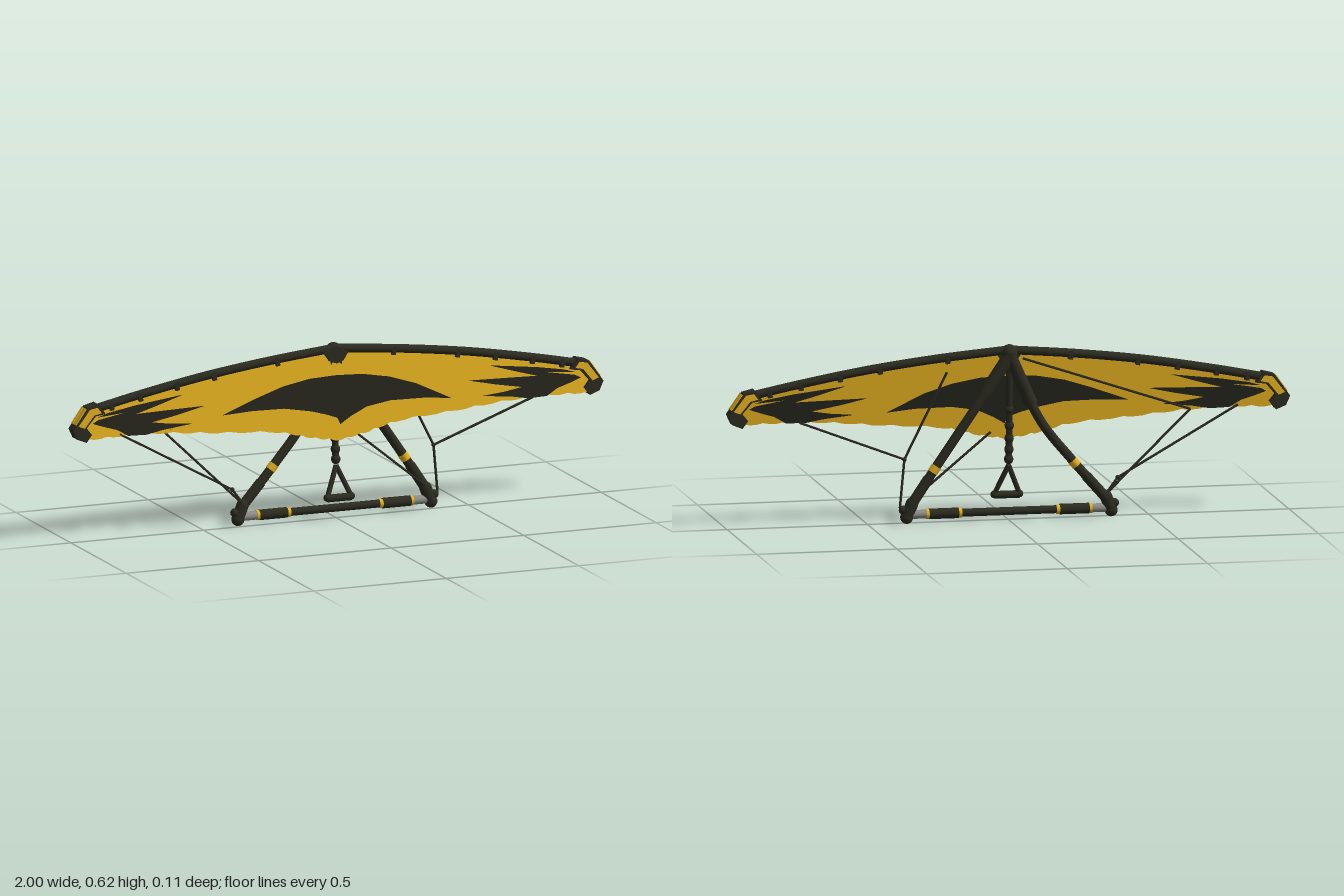
import * as THREE from 'three';

const mat = (name, color, side = THREE.FrontSide) => {
  const m = new THREE.MeshStandardMaterial({ color, side });
  m.name = name;
  return m;
};
const V = (x, y, z) => new THREE.Vector3(x, y, z);

export function createModel() {
  const model = new THREE.Group();
  model.name = 'hangGlider';
  const yellow = mat('sailYellow', 0xe7b220, THREE.DoubleSide);
  const dark = mat('patternBlack', 0x25251d);
  const frame = mat('frameBlack', 0x2b2b21);
  const metal = mat('bareMetal', 0x8c8c88);

  const add = (name, geo, material) => {
    const m = new THREE.Mesh(geo, material);
    m.name = name;
    model.add(m);
    return m;
  };
  // Straight round bar between two points
  const rod = (name, a, b, r, material = frame, sides = 14) => {
    const d = b.clone().sub(a);
    const m = add(name, new THREE.CylinderGeometry(r, r, d.length(), sides), material);
    m.position.copy(a).addScaledVector(d, 0.5);
    m.quaternion.setFromUnitVectors(V(0, 1, 0), d.normalize());
    return m;
  };
  const ball = (name, p, r) => {
    const m = add(name, new THREE.SphereGeometry(r, 16, 12), frame);
    m.position.copy(p);
    return m;
  };

  // The sail lies in one gently raked plane
  const sailZ = y => 0.02 - (y - 0.28) * 0.1;
  const rake = geo => {
    const p = geo.attributes.position;
    for (let i = 0; i < p.count; i++) p.setZ(i, p.getZ(i) + sailZ(p.getY(i)));
    geo.computeVertexNormals();
    return geo;
  };
  const shapeOf = pts => new THREE.Shape(pts.map(([x, y]) => new THREE.Vector2(x, y)));
  const plate = (pts, depth) =>
    new THREE.ExtrudeGeometry(shapeOf(pts), { depth, bevelEnabled: false }).translate(0, 0, -depth / 2);
  const flip = pts => pts.map(([x, y]) => [-x, y]).reverse();

  // Sail cloth with a lightly scalloped trailing edge
  const lead = [[0, 0.6], [0.25, 0.578], [0.5, 0.545], [0.75, 0.5], [0.93, 0.465]];
  const trailCurve = new THREE.CatmullRomCurve3(
    [[0.965, 0.362], [0.82, 0.366], [0.65, 0.362], [0.45, 0.345], [0.22, 0.326], [0.1, 0.297], [0, 0.28]]
      .map(([x, y]) => V(x, y, 0)));
  const trail = [];
  for (let i = 0; i <= 36; i++) {
    const p = trailCurve.getPoint(i / 36);
    trail.push([p.x, p.y + (i % 3 === 1 && i < 35 ? 0.005 : 0)]);
  }
  const half = [...lead, ...trail];
  add('sail', rake(new THREE.ShapeGeometry(shapeOf([...half, ...flip(half.slice(1, -1))]))), yellow);

  // Dark patterns, visible on both faces of the cloth
  const centre = [[-0.43, 0.407], [-0.3, 0.455], [-0.2, 0.487], [-0.1, 0.505], [0, 0.509], [0.1, 0.505],
    [0.2, 0.487], [0.3, 0.455], [0.43, 0.392], [0.33, 0.402], [0.2, 0.404], [0.11, 0.39], [0.05, 0.362],
    [0.01, 0.338], [0, 0.36], [-0.04, 0.375], [-0.1, 0.392], [-0.2, 0.41], [-0.32, 0.412]];
  add('centrePattern', rake(plate(centre.reverse(), 0.006)), dark);
  const flame = [[0.92, 0.42], [0.9, 0.431], [0.79, 0.45], [0.9, 0.441], [0.86, 0.453], [0.76, 0.47],
    [0.58, 0.492], [0.68, 0.462], [0.76, 0.44], [0.64, 0.443], [0.5, 0.446], [0.6, 0.424], [0.7, 0.406],
    [0.63, 0.395], [0.55, 0.388], [0.66, 0.376], [0.72, 0.365], [0.79, 0.367], [0.83, 0.391], [0.88, 0.406]];

  for (const s of [1, -1]) {
    const side = s > 0 ? 'left' : 'right';
    const orient = pts => (s > 0 ? pts : flip(pts));
    add(side + 'FlamePattern', rake(plate(orient(flame.slice().reverse()), 0.006)), dark);

    // Leading edge tube and its clips
    const edge = new THREE.CatmullRomCurve3(
      [[0, 0.603], [0.25, 0.58], [0.5, 0.548], [0.75, 0.504], [0.94, 0.465]]
        .map(([x, y], i) => V(s * x, y, -0.018 + i * 0.0045)));
    add(side + 'LeadingEdge', new THREE.TubeGeometry(edge, 32, 0.0155, 12), frame);
    for (const t of [0.22, 0.46, 0.6, 0.74, 0.88]) {
      const clip = add(side + 'EdgeClip', new THREE.BoxGeometry(0.015, 0.03, 0.032), frame);
      clip.position.copy(edge.getPoint(t)).add(V(0, -0.006, 0));
      clip.rotation.z = -s * 0.17;
    }

    // Wing tip cap with yellow inlays on both faces and along the slanted outer edge
    add(side + 'TipCap', plate(orient([[0.95, 0.358], [0.985, 0.372], [1, 0.405], [0.945, 0.482], [0.905, 0.492],
      [0.878, 0.455], [0.915, 0.45], [0.95, 0.41], [0.93, 0.385]]), 0.046), frame);
    add(side + 'TipInlay', plate(orient([[0.958, 0.41], [0.981, 0.419], [0.938, 0.475], [0.909, 0.48],
      [0.894, 0.46], [0.922, 0.454]]), 0.052), yellow);
    for (const [z, w] of [[0.008, 0.024], [-0.016, 0.012]]) {
      const strip = add(side + 'TipStripe', new THREE.BoxGeometry(0.006, 0.068, w), yellow);
      strip.position.set(s * 0.968, 0.45, z);
      strip.rotation.z = s * Math.atan2(0.055, 0.077);
    }

    // Upright of the control frame, sleeve and band
    const upright = new THREE.CatmullRomCurve3((s > 0
      ? [[0, 0.585], [0.12, 0.405], [0.24, 0.23], [0.36, 0.05]]
      : [[0, 0.585], [-0.11, 0.35], [-0.22, 0.21], [-0.36, 0.05]])
      .map(([x, y], i) => V(x, y, -0.03 + i * 0.003)));
    const band = s > 0 ? 0.72 : 0.675;
    add(side + 'Upright', new THREE.TubeGeometry(upright, 32, 0.0165, 14), frame);
    rod(side + 'UprightSleeve', upright.getPoint(0), upright.getPoint(0.24), 0.023);
    rod(side + 'UprightBand', upright.getPoint(band), upright.getPoint(band + 0.04), 0.018, yellow);
    rod(side + 'UprightGrip', upright.getPoint(0.8), upright.getPoint(0.97), 0.0185);

    // Corner fitting of the control frame
    const low = V(s * 0.364, 0.023, -0.015), high = V(s * 0.345, 0.072, -0.018);
    rod(side + 'Corner', low, high, 0.022);
    ball(side + 'CornerFoot', low, 0.023);
    ball(side + 'CornerTop', high, 0.022);
    ball(side + 'CornerBolt', V(s * 0.376, 0.048, -0.014), 0.016);

    // Base bar details
    const bar = x => V(s * x, 0.032, -0.015);
    rod(side + 'BarMetal', bar(0.29), bar(0.345), 0.0155, metal);
    rod(side + 'BarGrip', bar(0.18), bar(0.285), 0.0185);
    rod(side + 'BarBand', bar(0.168), bar(0.18), 0.0165, yellow);
    rod(side + 'GripBand', bar(0.285), bar(0.295), 0.0175, yellow);
  }
  rod('baseBar', V(-0.36, 0.032, -0.015), V(0.36, 0.032, -0.015), 0.014);

  // Apex fitting and flat nose plate
  ball('apexFitting', V(0, 0.593, -0.022), 0.03);
  add('nosePlate', plate([[-0.045, 0.592], [-0.025, 0.562], [0, 0.553], [0.025, 0.562], [0.045, 0.592],
    [0, 0.615]], 0.03), frame).position.z = -0.008;

  // Rigging wires, running on behind the cloth
  const wire = (a, b) => rod('riggingWire', a, b, 0.0045, frame, 6);
  const leftNode = V(0.37, 0.226, -0.005), rightNode = V(-0.39, 0.135, -0.003);
  const rightCorner = V(-0.345, 0.075, -0.005);
  wire(V(0.387, 0.055, -0.01), leftNode);
  wire(leftNode, V(0.74, 0.367, 0.008));
  wire(leftNode, V(0.22, 0.53, -0.012));
  wire(V(0.355, 0.07, -0.004), V(0.06, 0.31, 0.008));
  wire(rightCorner, rightNode);
  wire(rightNode, V(-0.82, 0.375, 0.008));
  wire(rightCorner, V(-0.65, 0.366, 0.007));
  wire(V(-0.65, 0.366, 0.007), V(-0.05, 0.57, -0.014));
  ball('leftWireJoint', leftNode, 0.008);
  ball('rightWireJoint', rightNode, 0.008);

  // Hanging strap with knots and triangular handle
  const strap = new THREE.CatmullRomCurve3(
    [V(0, 0.56, -0.03), V(0, 0.45, -0.016), V(-0.004, 0.33, -0.002), V(-0.004, 0.2, 0.008)]);
  add('hangStrap', new THREE.TubeGeometry(strap, 32, 0.012, 10), frame);
  for (const t of [0.5, 0.66, 0.78, 0.88, 0.97]) {
    const knot = ball('strapKnot', strap.getPoint(t), 0.0165);
    knot.scale.y = 1.1;
  }
  for (const s of [1, -1]) {
    const end = V(-0.004 + s * 0.045, 0.083, 0.039);
    rod('handleSide', V(-0.004, 0.19, 0.01), end, 0.009);
    ball('handleEnd', end, 0.0135);
  }
  rod('handleGrip', V(-0.049, 0.081, 0.039), V(0.041, 0.081, 0.039), 0.0135);
  return model;
}
